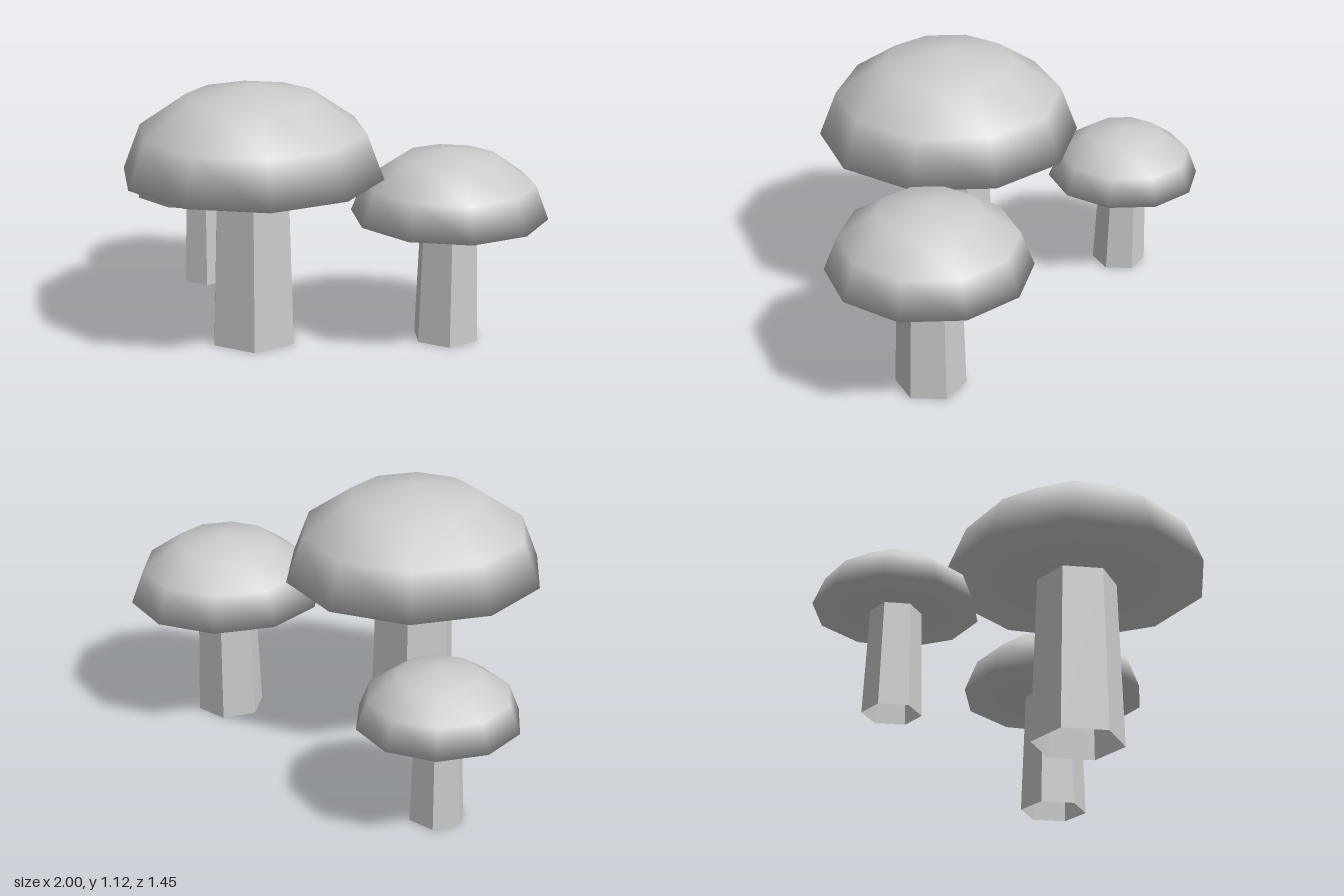
import * as THREE from 'three';
import { mergeVertices } from 'three/addons/utils/BufferGeometryUtils.js';

const material = new THREE.MeshStandardMaterial({ color: 0xcccccc });
const stemMaterial = new THREE.MeshStandardMaterial({
  color: 0xcccccc, flatShading: true, side: THREE.DoubleSide,
});

// Proportions of the largest mushroom
const CAP_RADIUS = 0.555, CAP_HEIGHT = 0.385, STEM_HEIGHT = 0.73;

// Ten-sided flattened dome with a flat underside, normals shared across the rim
function capGeometry() {
  const profile = [new THREE.Vector2(0, 0)];
  for (let i = 0; i <= 3; i++) {
    const a = (i / 3) * Math.PI / 2;
    profile.push(new THREE.Vector2(i === 3 ? 0 : CAP_RADIUS * Math.cos(a), CAP_HEIGHT * Math.sin(a)));
  }
  const lathe = new THREE.LatheGeometry(profile, 10);
  lathe.deleteAttribute('uv');
  lathe.deleteAttribute('normal');
  const geometry = mergeVertices(lathe, 1e-4);
  geometry.computeVertexNormals();
  return geometry;
}

// Tapered open six-sided tube with corners on the x axis
function stemGeometry() {
  const geometry = new THREE.CylinderGeometry(0.17, 0.195, STEM_HEIGHT, 6, 1, true, Math.PI / 2);
  geometry.translate(0, STEM_HEIGHT / 2, 0);
  return geometry;
}

export function createModel() {
  const model = new THREE.Group();
  model.name = 'mushrooms';
  const capGeo = capGeometry();
  const stemGeo = stemGeometry();

  // Three sizes of the same mushroom
  const layout = [
    { name: 'largeMushroom', x: -0.125, z: 0.167, scale: 1 },
    { name: 'mediumMushroom', x: 0.603, z: -0.225, scale: 0.75 },
    { name: 'smallMushroom', x: -0.685, z: -0.393, scale: 0.598 },
  ];
  for (const { name, x, z, scale } of layout) {
    const mushroom = new THREE.Group();
    mushroom.name = name;
    const stem = new THREE.Mesh(stemGeo, stemMaterial);
    stem.name = 'stem';
    const cap = new THREE.Mesh(capGeo, material);
    cap.name = 'cap';
    cap.position.y = STEM_HEIGHT;
    mushroom.add(stem, cap);
    mushroom.position.set(x, 0, z);
    mushroom.scale.setScalar(scale);
    model.add(mushroom);
  }
  return model;
}
